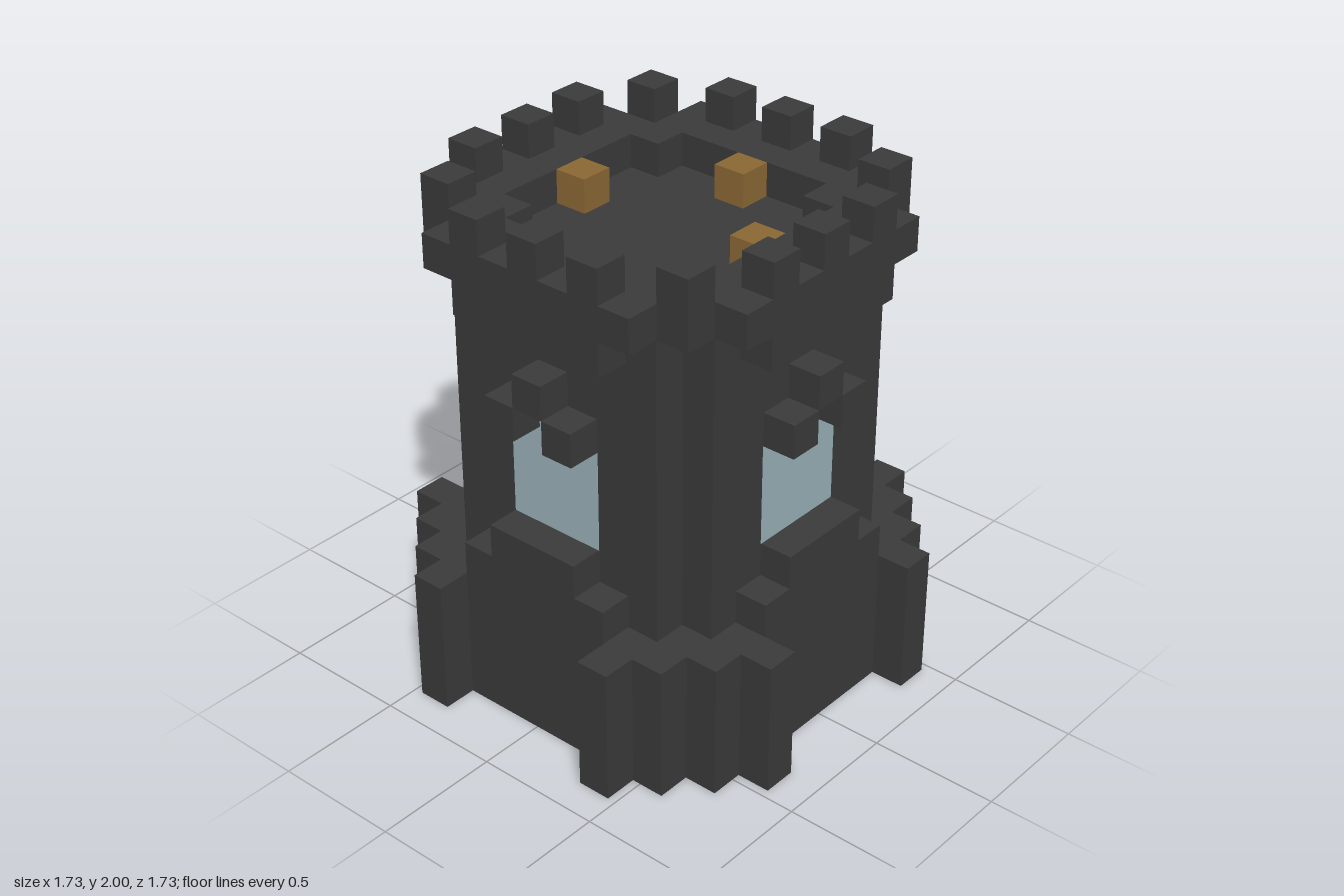
import * as THREE from 'three';

const U = 2 / 15; // edge of one block

export function createModel() {
  const tower = new THREE.Group();
  tower.name = 'watchtower';
  const mat = (name, color) => {
    const m = new THREE.MeshStandardMaterial({ color });
    m.name = name;
    return m;
  };
  const stone = mat('dark stone', 0x3b3b3b);
  const glass = mat('pale glass', 0x9cb4bb);
  const wood = mat('lantern amber', 0x8c6935);

  const add = (parent, name, geometry, material) => {
    const mesh = new THREE.Mesh(geometry, material);
    mesh.name = name;
    parent.add(mesh);
    return mesh;
  };

  // Box given by its limits in block units
  const box = (parent, name, material, x0, x1, y0, y1, z0, z1) => {
    const g = new THREE.BoxGeometry((x1 - x0) * U, (y1 - y0) * U, (z1 - z0) * U);
    g.translate((x0 + x1) / 2 * U, (y0 + y1) / 2 * U, (z0 + z1) / 2 * U);
    return add(parent, name, g, material);
  };

  // Repeats one corner of a floor plan around all four sides
  const ring = (corner) => {
    const pts = [];
    for (let k = 0; k < 4; k++) {
      for (const [x, y] of corner) {
        const p = [[x, y], [-y, x], [-x, -y], [y, -x]][k];
        pts.push(new THREE.Vector2(p[0] * U, p[1] * U));
      }
    }
    return pts;
  };

  // Upright prism over a floor plan, with an optional hole
  const prism = (name, outline, y0, y1, hole) => {
    const shape = new THREE.Shape(outline);
    if (hole) shape.holes.push(new THREE.Path(hole));
    const g = new THREE.ExtrudeGeometry(shape, { depth: (y1 - y0) * U, bevelEnabled: false });
    g.rotateX(-Math.PI / 2);
    g.translate(0, y0 * U, 0);
    return add(tower, name, g, stone);
  };

  const basePlan = ring([[5.5, 2.5], [6.5, 2.5], [6.5, 3.5], [5.5, 3.5], [5.5, 4.5],
    [4.5, 4.5], [4.5, 5.5], [3.5, 5.5], [3.5, 6.5], [2.5, 6.5], [2.5, 5.5]]);
  const bodyPlan = ring([[4.5, 3.5], [3.5, 3.5], [3.5, 4.5]]);
  const parapetPlan = ring([[5.5, 3.5], [4.5, 3.5], [4.5, 4.5], [3.5, 4.5], [3.5, 5.5]]);
  const courtPlan = ring([[3.5, 2.5], [2.5, 2.5], [2.5, 3.5]]);
  // Plan y points to -z
  const stairwell = [[-3.5, 0.5], [-2.5, 0.5], [-2.5, -2.5], [-3.5, -2.5]]
    .map(([x, y]) => new THREE.Vector2(x * U, y * U));

  prism('buttressedBase', basePlan, 0, 4);
  prism('towerBody', bodyPlan, 4, 10);
  prism('upperBody', bodyPlan, 10, 13, stairwell);
  prism('parapet', parapetPlan, 13, 14, courtPlan);

  // Stairs going down from the roof
  box(tower, 'stairStep', stone, -3.5, -2.5, 10, 12, -0.5, 0.5);
  box(tower, 'stairStep', stone, -3.5, -2.5, 10, 11, 0.5, 1.5);

  // Four equal sides
  for (let k = 0; k < 4; k++) {
    const side = new THREE.Group();
    side.name = 'towerSide';
    side.rotation.y = k * Math.PI / 2;
    tower.add(side);

    // Stepped sill and the corbel under the parapet
    box(side, 'lowerSill', stone, -2.5, 2.5, 4, 5, 4.5, 5.5);
    box(side, 'windowSill', stone, -1.5, 1.5, 5, 6, 4.5, 5.5);
    box(side, 'corbel', stone, -2.5, 2.5, 12, 13, 4.5, 5.5);

    // Window panes
    box(side, 'windowPane', glass, -1.5, 1.5, 6, 9, 4.48, 4.52);
    box(side, 'windowTop', glass, -0.5, 0.5, 9, 10, 4.48, 4.52);

    // Hood blocks over the window
    for (const s of [-1, 1]) box(side, 'hoodBlock', stone, s - 0.5, s + 0.5, 9, 10, 4.5, 5.5);
    box(side, 'hoodKeystone', stone, -0.5, 0.5, 10, 11, 4.5, 5.5);

    // Battlements, with a taller block at the corner
    for (const x of [-2, 0, 2]) box(side, 'merlon', stone, x - 0.5, x + 0.5, 14, 15, 4.5, 5.5);
    box(side, 'cornerMerlon', stone, 3.5, 4.5, 14, 15, 3.5, 4.5);
  }

  // Doorstep on the left side only
  box(tower, 'doorstep', stone, 5.5, 6.5, 0, 1, -1.5, 1.5);

  // Lanterns on the roof floor
  for (const [x, z] of [[0, -3], [3, 0], [0, 3]]) {
    box(tower, 'lantern', wood, x - 0.5, x + 0.5, 13, 14, z - 0.5, z + 0.5);
  }
  return tower;
}
